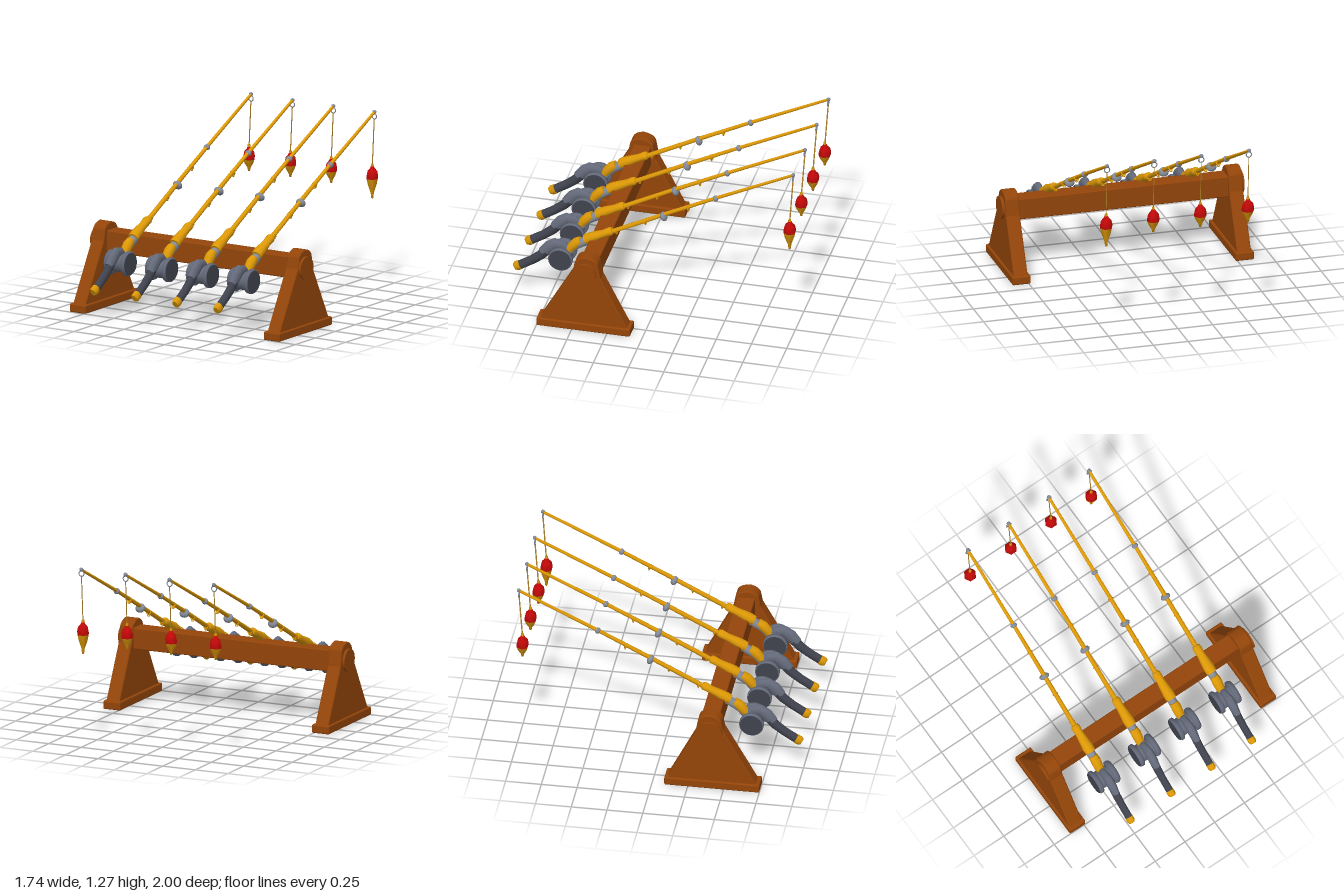
import * as THREE from 'three';
import { toCreasedNormals } from 'three/addons/utils/BufferGeometryUtils.js';
import { RoundedBoxGeometry } from 'three/addons/geometries/RoundedBoxGeometry.js';

const material = (name, color) => Object.assign(new THREE.MeshStandardMaterial({ color }), { name });
const wood = material('wood', 0x944509);
const gold = material('gold', 0xdc9806);
const red = material('red', 0xc40808);
const grey = material('grey', 0x646a7a);
const dark = material('dark grip', 0x40434e);
const metal = material('pale metal', 0x858b98);
const cord = material('line', 0xb0842a);

function add(parent, name, geometry, mat, x = 0, y = 0, z = 0) {
  const mesh = new THREE.Mesh(geometry, mat);
  mesh.name = name;
  mesh.position.set(x, y, z);
  parent.add(mesh);
  return mesh;
}

// Closed body swept through [z, y, radius] points in the x = 0 plane; width scales it along x
function sweep(points, sides = 10, width = 1) {
  const verts = [], index = [], last = points.length - 1;
  const ring = (i, scale) => {
    const [z, y, r] = points[i];
    const a = points[Math.max(0, i - 1)], b = points[Math.min(last, i + 1)];
    const len = Math.hypot(b[0] - a[0], b[1] - a[1]);
    const tz = (b[0] - a[0]) / len, ty = (b[1] - a[1]) / len;
    for (let j = 0; j < sides; j++) {
      const t = (j / sides) * Math.PI * 2;
      const c = Math.cos(t) * r * scale * width, s = Math.sin(t) * r * scale;
      verts.push(c, y + tz * s, z - ty * s);
    }
  };
  ring(0, 0);
  points.forEach((p, i) => ring(i, 1));
  ring(last, 0);
  for (let i = 0; i < last + 2; i++) {
    for (let j = 0; j < sides; j++) {
      const a = i * sides + j, b = i * sides + (j + 1) % sides;
      index.push(a, b, a + sides, b, b + sides, a + sides);
    }
  }
  const geo = new THREE.BufferGeometry();
  geo.setAttribute('position', new THREE.Float32BufferAttribute(verts, 3));
  geo.setIndex(index);
  return toCreasedNormals(geo, 0.8);
}

// Lathe with a corner on each side along x
function turned(profile, sides) {
  const pts = profile.map(([r, y]) => new THREE.Vector2(r, y));
  return toCreasedNormals(new THREE.LatheGeometry(pts, sides, Math.PI / 2), 1.1);
}

function makeRack() {
  const rack = new THREE.Group();
  rack.name = 'rack';
  add(rack, 'beam', new RoundedBoxGeometry(1.56, 0.152, 0.125, 2, 0.008), wood, 0, 0.459, 0.393);

  // Trapezoid with a rounded top, drawn as z across and y up
  const outline = new THREE.Shape();
  outline.moveTo(0.725, 0.05);
  outline.lineTo(0.49, 0.465);
  outline.lineTo(0.475, 0.54);
  outline.quadraticCurveTo(0.46, 0.575, 0.405, 0.583);
  outline.quadraticCurveTo(0.34, 0.575, 0.325, 0.54);
  outline.lineTo(0.305, 0.43);
  outline.lineTo(0.11, 0.05);
  const legGeo = new THREE.ExtrudeGeometry(outline, {
    depth: 0.088, bevelEnabled: true, bevelThickness: 0.006, bevelSize: 0.006, bevelSegments: 1, curveSegments: 5,
  });
  legGeo.translate(0, 0, -0.044);
  legGeo.rotateY(-Math.PI / 2);

  for (const side of [-1, 1]) {
    add(rack, 'leg', legGeo, wood, side * 0.803);
    add(rack, 'foot', new RoundedBoxGeometry(0.132, 0.06, 0.665, 2, 0.01), wood, side * 0.802, 0.03, 0.418);
    add(rack, 'beamPeg', new THREE.CylinderGeometry(0.08, 0.08, 0.04, 24), wood, side * 0.851, 0.46, 0.407)
      .rotation.z = Math.PI / 2;
  }
  return rack;
}

function makeReel() {
  const reel = new THREE.Group();
  reel.name = 'reel';
  const flange = turned([[0, 0.048], [0.074, 0.048], [0.086, 0.055], [0.086, 0.078], [0.08, 0.084], [0, 0.084]], 20);
  for (const side of [-1, 1]) {
    add(reel, 'reelFlange', flange, grey).rotation.z = -side * Math.PI / 2;
    add(reel, 'reelPlate', new THREE.CylinderGeometry(0.078, 0.079, 0.006, 20), dark, side * 0.084).rotation.z = -side * Math.PI / 2;
  }
  add(reel, 'spool', new THREE.CylinderGeometry(0.066, 0.066, 0.1, 16), grey).rotation.z = Math.PI / 2;
  reel.position.set(0, 0.374, 0.65);
  return reel;
}

function makeFloat(tipLength) {
  const float = new THREE.Group();
  float.name = 'float';
  add(float, 'floatTop', turned([[0.0435, -0.09], [0.045, -0.07], [0.038, -0.038], [0.019, -0.018], [0.013, -0.004], [0, 0]], 6), red);
  const bottom = [[0, -1], [0.008, -0.97], [0.013, -0.7], [0.034, -0.3], [0.0435, 0]].map(([r, y]) => [r, -0.09 + y * tipLength]);
  add(float, 'floatBottom', turned(bottom, 6), gold);
  add(float, 'floatKnob', new THREE.CylinderGeometry(0.009, 0.011, 0.02, 6), gold, 0, 0.005, 0);
  return float;
}

function makeRod(drop, tipLength) {
  const rod = new THREE.Group();
  rod.name = 'fishingRod';

  add(rod, 'shaft', sweep([[0.32, 0.6, 0.017], [-0.06, 0.798, 0.0155], [-0.43, 0.986, 0.013], [-0.988, 1.257, 0.01]], 8), gold);
  add(rod, 'foreGrip', sweep([[0.295, 0.618, 0.022], [0.31, 0.61, 0.03], [0.36, 0.584, 0.027],
    [0.42, 0.556, 0.033], [0.46, 0.535, 0.037], [0.49, 0.519, 0.034]], 10, 1.1), gold);

  // Pale seat: a collar below the grip, then a strip along the underside
  add(rod, 'reelSeat', sweep([[0.47, 0.516, 0.033], [0.525, 0.484, 0.032], [0.56, 0.453, 0.027], [0.595, 0.405, 0.022]]), metal);
  add(rod, 'seatCover', sweep([[0.518, 0.505, 0.031], [0.55, 0.484, 0.037], [0.585, 0.446, 0.034], [0.61, 0.41, 0.027]]), gold);

  // Curved handle behind the reel
  add(rod, 'reelArm', sweep([[0.6, 0.41, 0.026], [0.65, 0.446, 0.035], [0.7, 0.452, 0.043], [0.745, 0.42, 0.046], [0.79, 0.37, 0.038]], 10, 0.72), grey);
  add(rod, 'handle', sweep([[0.77, 0.385, 0.036], [0.81, 0.342, 0.034], [0.87, 0.296, 0.032], [0.96, 0.24, 0.032]], 10, 0.82), dark);
  add(rod, 'handleCap', sweep([[0.95, 0.246, 0.035], [0.978, 0.231, 0.035], [0.99, 0.224, 0.026]], 10, 0.82), gold);
  rod.add(makeReel());

  // Line guides along the shaft
  const beads = [[-0.067, 0.787, 0.037, 0.023], [-0.435, 0.986, 0.024, 0.02], [-0.987, 1.258, 0.015, 0.013]];
  for (const [z, y, r, depth] of beads) {
    const bead = add(rod, 'guideBead', new THREE.SphereGeometry(1, 10, 8), metal, 0, y, z);
    bead.scale.set(r, r * 0.9, depth);
    bead.rotation.x = 0.47;
  }
  for (const [z, y] of [[0.27, 0.622], [0.065, 0.729], [-0.24, 0.884]]) {
    const band = add(rod, 'guideBand', new THREE.CylinderGeometry(0.02, 0.02, 0.008, 8), gold, 0, y, z);
    band.rotation.x = -1.09;
    add(rod, 'guideEye', new THREE.TorusGeometry(0.01, 0.004, 5, 8), gold, 0, y - 0.018, z).rotation.x = 0.47;
  }
  add(rod, 'tipRing', new THREE.TorusGeometry(0.019, 0.004, 6, 14), metal, 0, 1.228, -0.985);

  // Hanging line and float
  const top = 0.893 - drop;
  add(rod, 'line', sweep([[-0.985, 1.212, 0.005], [-0.961, top - 0.01, 0.005]], 6, 0.6), cord);
  const float = makeFloat(tipLength);
  float.position.set(0, top, -0.961);
  rod.add(float);
  return rod;
}

export function createModel() {
  const model = new THREE.Group();
  model.name = 'fishingRodRack';
  model.add(makeRack());
  [-0.514, -0.172, 0.166, 0.505].forEach((x, i) => {
    const rod = i === 3 ? makeRod(0.012, 0.14) : makeRod(0, 0.084);
    rod.position.x = x;
    model.add(rod);
  });
  return model;
}
